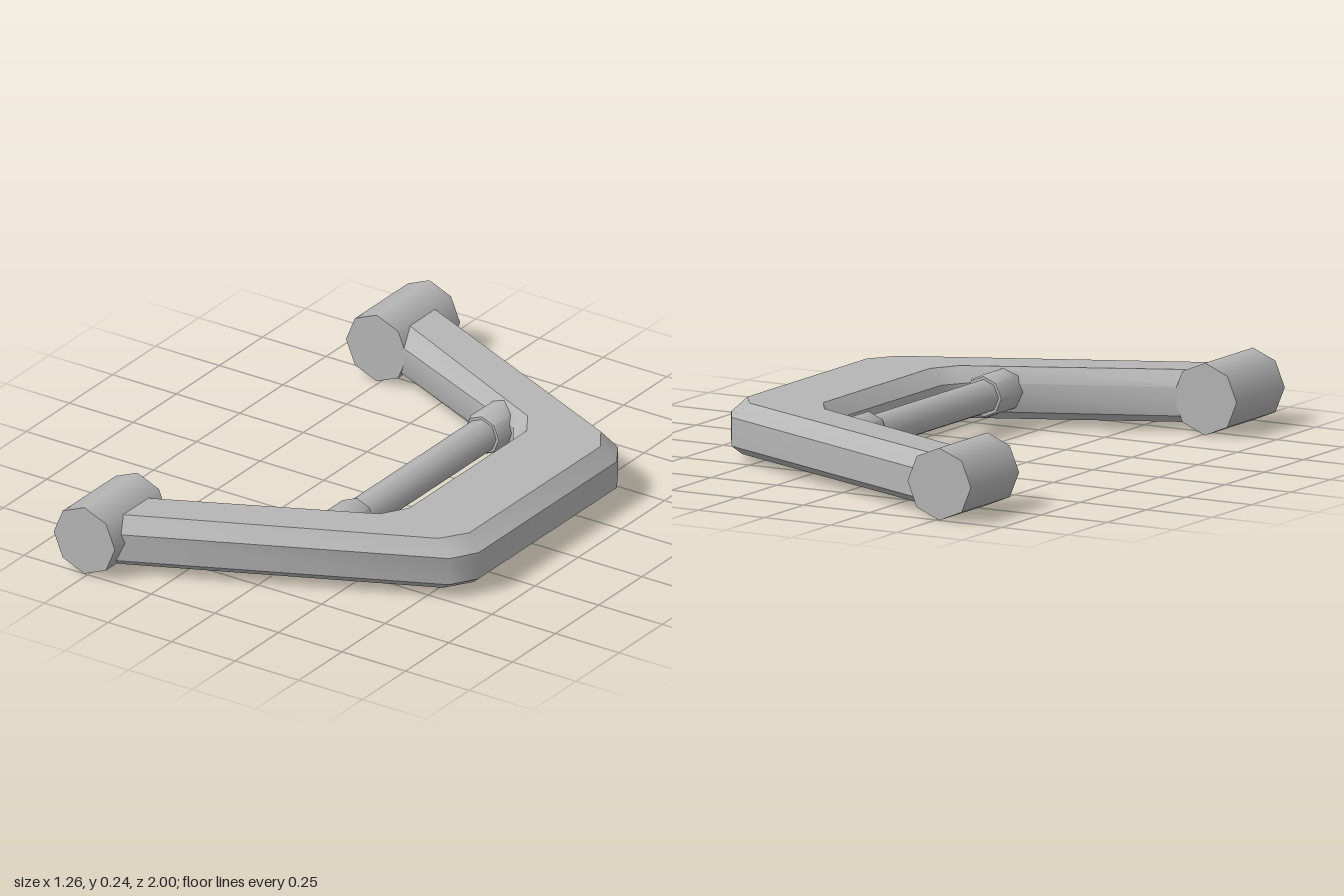
import * as THREE from 'three';
import { toCreasedNormals } from 'three/addons/utils/BufferGeometryUtils.js';

export function createModel() {
  const group = new THREE.Group();
  const grey = new THREE.MeshStandardMaterial({ color: 0xb6b6b6 });
  grey.name = 'grey metal';

  function add(geometry, name, x = 0, y = 0, z = 0) {
    const mesh = new THREE.Mesh(geometry, grey);
    mesh.name = name;
    mesh.position.set(x, y, z);
    group.add(mesh);
    return mesh;
  }

  // Plan of one half of the bracket, as [x, z] at each station:
  // outer side, outer top edge, inner top edge, inner side
  const half = [
    [[-0.5, -0.99], [-0.5, -0.937], [-0.5, -0.793], [-0.5, -0.735]],
    [[0.575, -0.49], [0.52, -0.47], [0.26, -0.43], [0.21, -0.42]],
    [[0.63, -0.4], [0.58, -0.38], [0.317, -0.34], [0.27, -0.33]],
  ];
  const mirrored = half.map(s => s.map(([x, z]) => [x, -z])).reverse();

  // Eight-sided chamfered section at every station
  const lerp = (a, b, t) => [a[0] + (b[0] - a[0]) * t, a[1] + (b[1] - a[1]) * t];
  const rings = [...half, ...mirrored].map(([outer, outerTop, innerTop, inner]) => [
    [outer, 0.055], [outer, 0.15], [outerTop, 0.2], [innerTop, 0.2],
    [inner, 0.15], [inner, 0.055],
    [lerp(inner, innerTop, 0.6), 0.03], [lerp(outer, outerTop, 0.6), 0.03],
  ].map(([p, y]) => [p[0], y, p[1]]));

  const positions = [];
  for (let i = 0; i < rings.length - 1; i++) {
    for (let j = 0; j < 8; j++) {
      const k = (j + 1) % 8;
      const a = rings[i][j], b = rings[i][k], c = rings[i + 1][k], d = rings[i + 1][j];
      positions.push(...a, ...b, ...c, ...a, ...c, ...d);
    }
  }
  // Close both ends (inside the hinge barrels)
  const first = rings[0], last = rings[rings.length - 1];
  for (let j = 1; j < 7; j++) {
    positions.push(...first[0], ...first[j + 1], ...first[j]);
    positions.push(...last[0], ...last[j], ...last[j + 1]);
  }
  const frame = new THREE.BufferGeometry();
  frame.setAttribute('position', new THREE.Float32BufferAttribute(positions, 3));
  add(toCreasedNormals(frame, 0.63), 'bracketFrame');

  // Octagonal hinge barrels on the arm ends
  const barrel = new THREE.CylinderGeometry(0.12, 0.12, 0.307, 8).rotateX(Math.PI / 2);
  add(barrel, 'frontHingeBarrel', -0.513, 0.121, 0.8465);
  add(barrel, 'backHingeBarrel', -0.513, 0.121, -0.8465);

  // Cross rod with a chamfered collar at each end
  add(new THREE.CylinderGeometry(0.057, 0.057, 0.8, 8).rotateX(Math.PI / 2), 'crossRod', 0.127, 0.122, 0);
  const profile = [[0.055, 0.36], [0.067, 0.36], [0.073, 0.372], [0.073, 0.5], [0, 0.5]]
    .map(([r, z]) => new THREE.Vector2(r, z));
  const collar = toCreasedNormals(new THREE.LatheGeometry(profile, 8).rotateX(Math.PI / 2), 0.8);
  add(collar, 'frontRodCollar', 0.127, 0.122, 0);
  add(collar, 'backRodCollar', 0.127, 0.122, 0).rotation.y = Math.PI;

  return group;
}
